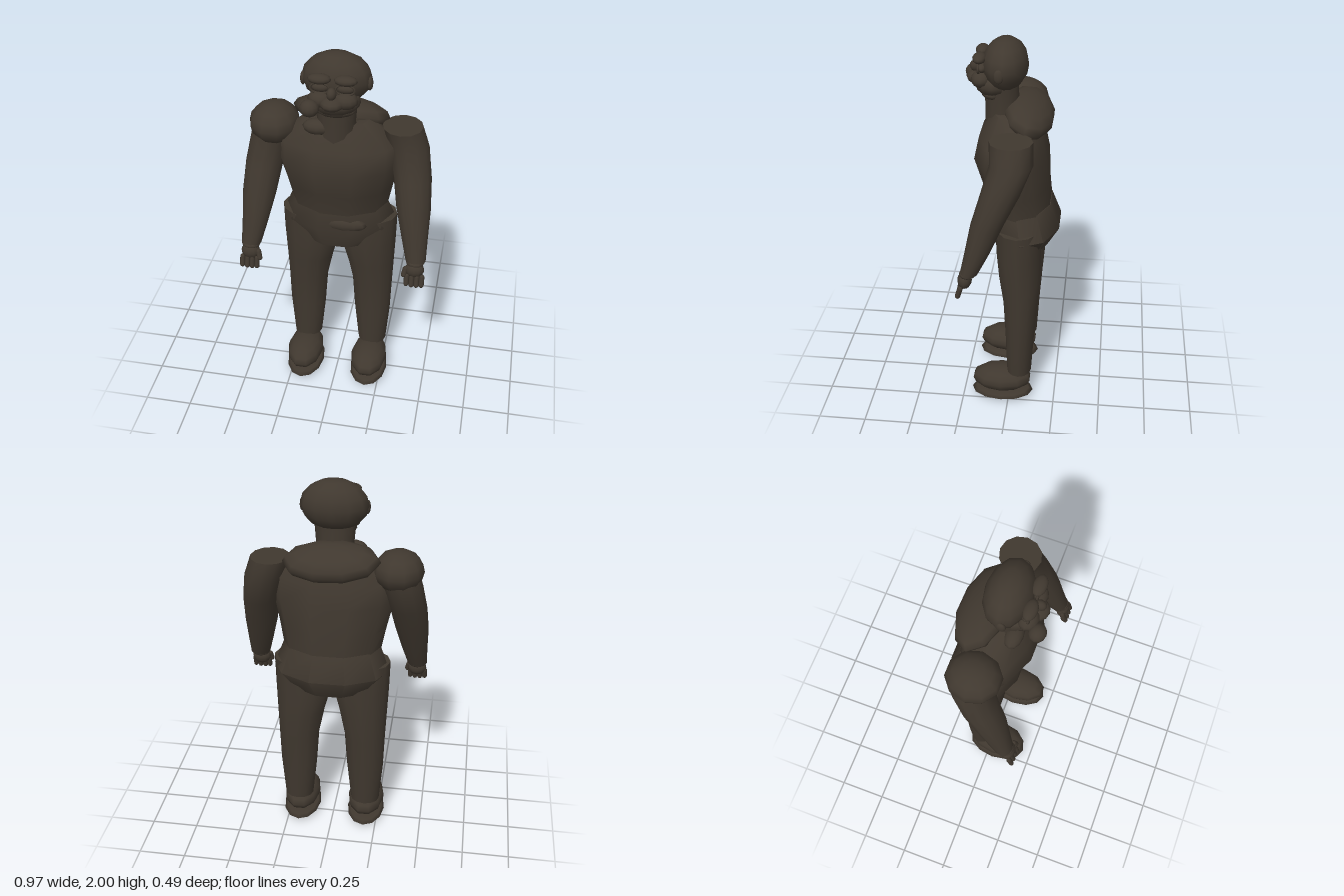
import * as THREE from 'three';
import { toCreasedNormals } from 'three/addons/utils/BufferGeometryUtils.js';

const cloth = new THREE.MeshStandardMaterial({ color: 0x40382f });
cloth.name = 'dark brown';

// Closed body through horizontal elliptical rings: [y, centre x, centre z, radius x, radius z]
function loft(rings, sides, offset = 0) {
  const pos = [], index = [];
  for (const [y, cx, cz, rx, rz] of rings) {
    for (let i = 0; i < sides; i++) {
      const a = ((i + offset) / sides) * Math.PI * 2;
      pos.push(cx + rx * Math.sin(a), y, cz + rz * Math.cos(a));
    }
  }
  for (let r = 0; r < rings.length - 1; r++) {
    for (let i = 0; i < sides; i++) {
      const j = (i + 1) % sides;
      const a = r * sides + i, b = r * sides + j, c = a + sides, d = b + sides;
      index.push(a, b, d, a, d, c);
    }
  }
  const top = (rings.length - 1) * sides;
  for (let i = 1; i < sides - 1; i++) {
    index.push(0, i + 1, i, top, top + i, top + i + 1);
  }
  const geo = new THREE.BufferGeometry();
  geo.setAttribute('position', new THREE.Float32BufferAttribute(pos, 3));
  geo.setIndex(index);
  return toCreasedNormals(geo, 0.95);
}

export function createModel() {
  const model = new THREE.Group();
  model.name = 'standingFigure';

  function add(name, geo, parent = model) {
    const mesh = new THREE.Mesh(geo, cloth);
    mesh.name = name;
    parent.add(mesh);
    return mesh;
  }
  function blob(name, centre, radii, parent = model, w = 12, h = 8) {
    const mesh = add(name, new THREE.SphereGeometry(1, w, h), parent);
    mesh.position.set(...centre);
    mesh.scale.set(...radii);
    return mesh;
  }
  function group(name) {
    const g = new THREE.Group();
    g.name = name;
    model.add(g);
    return g;
  }

  // Torso and pelvis
  add('torso', loft([
    [1.0, 0, -0.05, 0.25, 0.15],
    [1.12, 0, -0.045, 0.25, 0.165],
    [1.25, 0, -0.025, 0.275, 0.172],
    [1.4, 0, 0, 0.31, 0.192],
    [1.52, 0, 0, 0.31, 0.165],
    [1.64, 0, -0.01, 0.16, 0.11],
  ], 10, 0.5));
  add('pelvis', loft([
    [0.905, 0, -0.05, 0.21, 0.145],
    [1.02, 0, -0.066, 0.3, 0.193],
    [1.15, 0, -0.045, 0.25, 0.165],
  ], 10, 0.5));
  blob('buckle', [0.045, 1.062, 0.09], [0.118, 0.044, 0.035]).rotation.z = -0.03;

  // Neck and hood lying on the shoulders
  add('neck', loft([
    [1.56, 0, 0.045, 0.1, 0.09],
    [1.66, 0, 0.05, 0.095, 0.085],
    [1.78, 0, 0.055, 0.105, 0.085],
  ], 12));
  const hood = blob('hood', [0, 1.622, -0.085], [0.245, 0.08, 0.13], model, 10, 8);
  hood.rotation.set(-0.35, 0, -0.06);
  blob('collarKnot', [-0.085, 1.625, 0.09], [0.075, 0.04, 0.045]);

  // Head and face
  const head = group('head');
  blob('skull', [0, 1.872, 0.033], [0.17, 0.128, 0.113], head);
  blob('jaw', [0, 1.78, 0.09], [0.125, 0.07, 0.095], head);
  blob('chin', [0, 1.735, 0.09], [0.105, 0.04, 0.065], head);
  blob('nose', [0, 1.855, 0.178], [0.024, 0.03, 0.03], head);
  blob('mouthBall', [-0.1, 1.785, 0.202], [0.047, 0.042, 0.043], head);
  blob('upperLip', [0, 1.8, 0.16], [0.06, 0.035, 0.065], head);
  for (const s of [-1, 1]) {
    blob('brow', [s * 0.062, 1.915, 0.152], [0.056, 0.024, 0.034], head);
    blob('eye', [s * 0.06, 1.868, 0.14], [0.045, 0.024, 0.025], head);
    blob('cheek', [s * 0.06, 1.81, 0.145], [0.06, 0.042, 0.05], head);
    blob('ear', [s * 0.16, 1.86, 0.05], [0.014, 0.035, 0.025], head);
    const rim = add('eyeRim', new THREE.TorusGeometry(0.045, 0.006, 6, 16), head);
    rim.position.set(s * 0.06, 1.868, 0.155);
    rim.scale.y = 0.6;
  }

  for (const s of [-1, 1]) {
    const side = s > 0 ? 'left' : 'right';

    // Arm reaching down and forward
    const arm = group(side + 'Arm');
    add('sleeve', loft([
      [0.94, s * 0.43, 0.17, 0.052, 0.045],
      [1.05, s * 0.415, 0.13, 0.067, 0.062],
      [1.2, s * 0.397, 0.082, 0.087, 0.08],
      [1.35, s * 0.378, 0.022, 0.096, 0.095],
      [1.5, s * 0.347, -0.03, 0.102, 0.104],
      [1.605, s * 0.315, -0.025, 0.1, 0.105],
    ], 12), arm);

    // Hand with four fingers and a thumb
    blob('wrist', [s * 0.43, 0.935, 0.178], [0.048, 0.022, 0.042], arm);
    blob('palm', [s * 0.43, 0.898, 0.193], [0.05, 0.045, 0.036], arm);
    for (let i = 0; i < 4; i++) {
      const finger = add('finger', new THREE.CapsuleGeometry(0.0135, 0.045, 4, 8), arm);
      finger.position.set(s * (0.393 + i * 0.026), 0.846 - (i % 3 ? 0.004 : 0), 0.218);
      finger.rotation.x = -0.3;
    }
    const thumb = add('thumb', new THREE.CapsuleGeometry(0.014, 0.035, 4, 8), arm);
    thumb.position.set(s * 0.381, 0.89, 0.21);
    thumb.rotation.set(-0.3, 0, s * -0.2);

    // Trouser leg
    const leg = group(side + 'Leg');
    add('trouserLeg', loft([
      [0.17, s * 0.186, -0.055, 0.078, 0.066],
      [0.4, s * 0.183, -0.058, 0.099, 0.077],
      [0.6, s * 0.179, -0.06, 0.109, 0.09],
      [0.75, s * 0.167, -0.055, 0.127, 0.108],
      [0.9, s * 0.15, -0.047, 0.15, 0.116],
      [1.06, s * 0.154, -0.047, 0.15, 0.117],
    ], 12), leg);

    // Shoe with a flat sole
    blob('shoe', [s * 0.184, 0.108, 0.04], [0.101, 0.072, 0.163], leg, 10, 8);
    blob('sole', [s * 0.184, 0.024, 0.037], [0.104, 0.024, 0.168], leg, 12, 6);
  }

  // Round pad on the right shoulder
  blob('shoulderPad', [-0.325, 1.568, -0.02], [0.128, 0.104, 0.138], model, 10, 8);

  return model;
}
